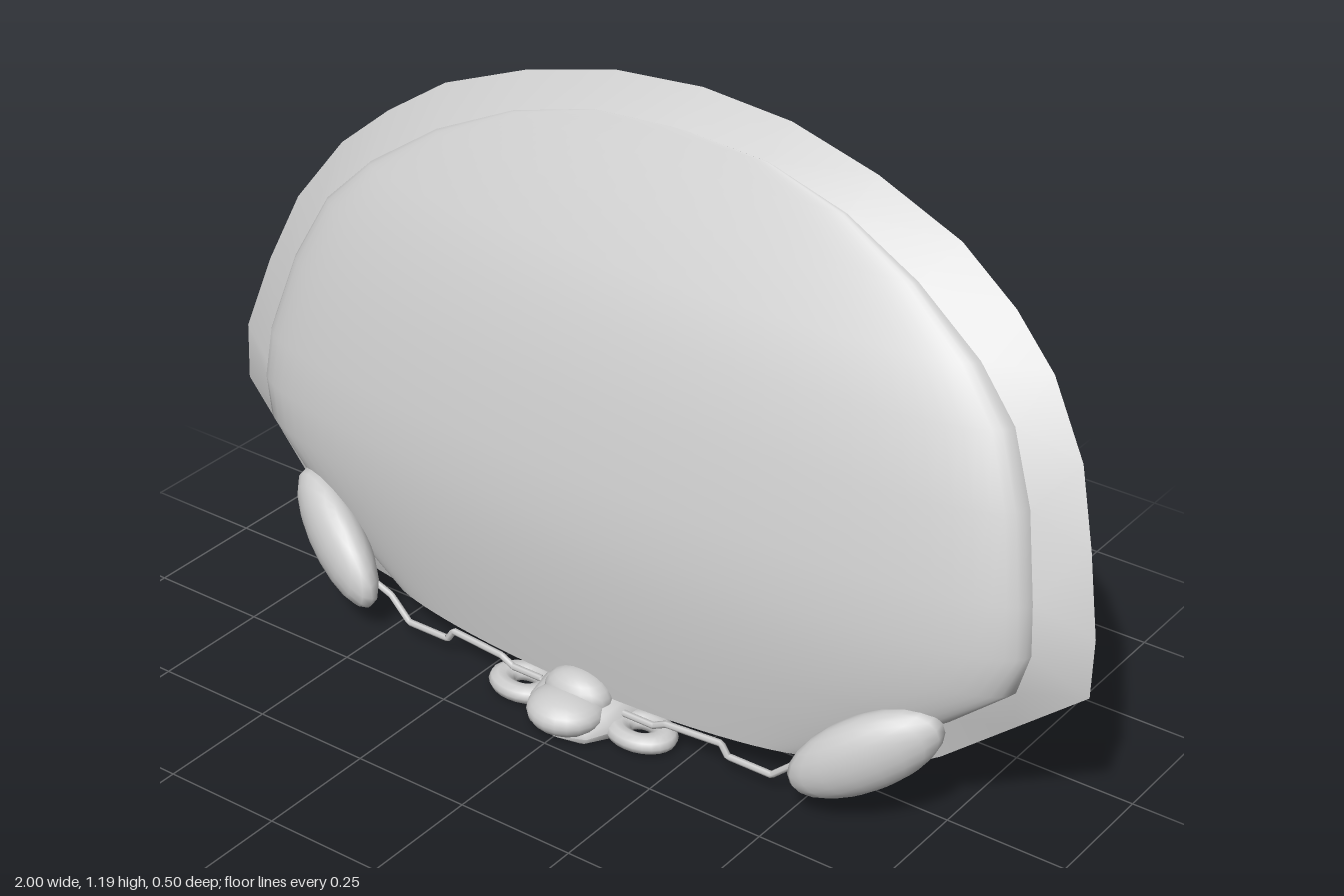
import * as THREE from 'three';

const material = new THREE.MeshStandardMaterial({ color: 0xcccccc, side: THREE.DoubleSide });

// Half sections of the dome, bottom to top: half width, height, edge depth, centre depth
const domeRows = [
  [0.50, 0.09, 0.08, 0.13], [0.64, 0.16, 0.05, 0.14], [0.77, 0.25, 0.03, 0.145],
  [0.88, 0.34, 0.01, 0.145], [0.90, 0.42, 0.0, 0.138], [0.89, 0.52, -0.01, 0.122],
  [0.85, 0.68, -0.05, 0.08], [0.79, 0.81, -0.085, 0.03], [0.70, 0.90, -0.11, -0.02],
  [0.55, 1.0, -0.135, -0.085], [0.38, 1.075, -0.16, -0.14], [0.2, 1.12, -0.175, -0.172],
  [0.02, 1.13, -0.18, -0.18],
];

// Outer edge of the rim, one point per dome row: x, y, z
const rimEdge = [
  [0.61, 0.07, 0.04], [0.74, 0.15, 0.02], [0.87, 0.25, -0.01], [1.0, 0.35, -0.04],
  [1.0, 0.47, -0.045], [0.96, 0.62, -0.08], [0.91, 0.76, -0.12], [0.82, 0.89, -0.16],
  [0.72, 0.975, -0.19], [0.59, 1.06, -0.212], [0.4, 1.13, -0.23], [0.2, 1.175, -0.247],
  [0, 1.19, -0.25],
];

// Skin a grid of points: rows of equal length
function skin(rows) {
  const cols = rows[0].length;
  const index = [];
  for (let r = 0; r < rows.length - 1; r++) {
    for (let c = 0; c < cols - 1; c++) {
      const a = r * cols + c, b = a + 1, d = a + cols, e = d + 1;
      index.push(a, b, e, a, e, d);
    }
  }
  const geometry = new THREE.BufferGeometry();
  geometry.setAttribute('position', new THREE.Float32BufferAttribute(rows.flat(2), 3));
  geometry.setIndex(index);
  geometry.computeVertexNormals();
  return geometry;
}

// Shallow folds that fan out from the bottom centre of the liner
function fold(x, y) {
  const angle = Math.atan2(x, y);
  const reach = Math.min(1, Math.hypot(x, y) / 0.5);
  return [-0.75, 0.3, 0.7].reduce(
    (sum, a) => sum + 0.018 * reach * Math.exp(-(((angle - a) / 0.09) ** 2)), 0);
}

function domeGeometry(liner) {
  const cols = 36;
  return skin(domeRows.map(([w, y, zEdge, zMid], r) => {
    const row = [];
    for (let c = 0; c <= cols; c++) {
      const s = Math.sin((c / cols - 0.5) * Math.PI);
      const bulge = Math.pow(Math.max(0, 1 - s * s), 0.45);
      const sag = r === 0 ? 0.025 * (1 - s * s) : 0;
      let z = zEdge + (zMid - zEdge) * bulge;
      if (liner) z -= bulge * Math.min(1, (12 - r) / 3) * (0.012 + fold(w * s, y));
      row.push([w * s, y - sag, z]);
    }
    return row;
  }));
}

function rimGeometry() {
  const mirrored = (list) => [
    ...list.map(([x, y, z]) => [-x, y, z]),
    ...list.slice(0, -1).reverse().map(([x, y, z]) => [x, y, z]),
  ];
  return skin([mirrored(domeRows), mirrored(rimEdge)]);
}

// Low tapering foot: depth, half width, height of each section
function footGeometry() {
  const sections = [
    [0.22, 0.01, 0.01], [0.21, 0.07, 0.045], [0.17, 0.1, 0.07], [0.11, 0.11, 0.085],
    [0.05, 0.12, 0.075], [-0.01, 0.12, 0.05], [-0.07, 0.1, 0.035], [-0.11, 0.06, 0.018],
    [-0.118, 0.01, 0.005],
  ];
  const sides = 20;
  return skin(sections.map(([z, w, h]) => {
    const row = [];
    for (let i = 0; i <= sides; i++) {
      const a = (i / sides) * Math.PI * 2;
      row.push([w * Math.cos(a), Math.max(0, h * (0.3 + 0.7 * Math.sin(a))), z]);
    }
    return row;
  }));
}

export function createModel() {
  const model = new THREE.Group();
  const add = (name, geometry, parent = model) => {
    const mesh = new THREE.Mesh(geometry, material);
    mesh.name = name;
    parent.add(mesh);
    return mesh;
  };

  add('domePanel', domeGeometry(false));
  add('domeLiner', domeGeometry(true));
  add('rim', rimGeometry());

  // Central foot with its rounded front knob
  const foot = new THREE.Group();
  foot.name = 'foot';
  model.add(foot);
  add('footBody', footGeometry(), foot);
  const knob = add('footKnob', new THREE.SphereGeometry(1, 20, 14), foot);
  knob.scale.set(0.08, 0.042, 0.075);
  knob.position.set(0, 0.042, 0.18);
  const crown = add('footCrown', new THREE.SphereGeometry(1, 18, 12), foot);
  crown.scale.set(0.075, 0.05, 0.05);
  crown.position.set(0, 0.06, 0.14);

  for (const side of [-1, 1]) {
    const label = side > 0 ? 'left' : 'right';

    // Looped ear of the foot
    const ear = add(label + 'FootEar', new THREE.TorusGeometry(0.05, 0.028, 10, 24), foot);
    ear.rotation.x = Math.PI / 2;
    ear.scale.set(1, 0.75, 0.7);
    ear.position.set(side * 0.142, 0.02, 0.13);

    // Leaf-shaped pad lying along the lower corner
    const pad = add(label + 'Pad', new THREE.SphereGeometry(1, 18, 12));
    const along = new THREE.Vector3(side * 0.25, 0.175, -0.1).normalize();
    const out = new THREE.Vector3(side * 0.38, 0, 0.92);
    out.addScaledVector(along, -out.dot(along)).normalize();
    const across = new THREE.Vector3().crossVectors(out, along);
    pad.quaternion.setFromRotationMatrix(new THREE.Matrix4().makeBasis(along, across, out));
    pad.scale.set(0.165, 0.075, 0.052);
    pad.position.set(side * 0.635, 0.165, 0.112);

    // Thin bent wire from the pad to the foot
    const bends = [
      [0.53, 0.1, 0.12], [0.49, 0.085, 0.12], [0.44, 0.042, 0.125], [0.34, 0.042, 0.125],
      [0.325, 0.065, 0.125], [0.2, 0.06, 0.13], [0.17, 0.045, 0.13], [0.1, 0.045, 0.13],
    ].map(([x, y, z]) => new THREE.Vector3(side * x, y, z));
    const path = new THREE.CatmullRomCurve3(bends, false, 'catmullrom', 0);
    add(label + 'Wire', new THREE.TubeGeometry(path, 80, 0.007, 6));
  }
  return model;
}
